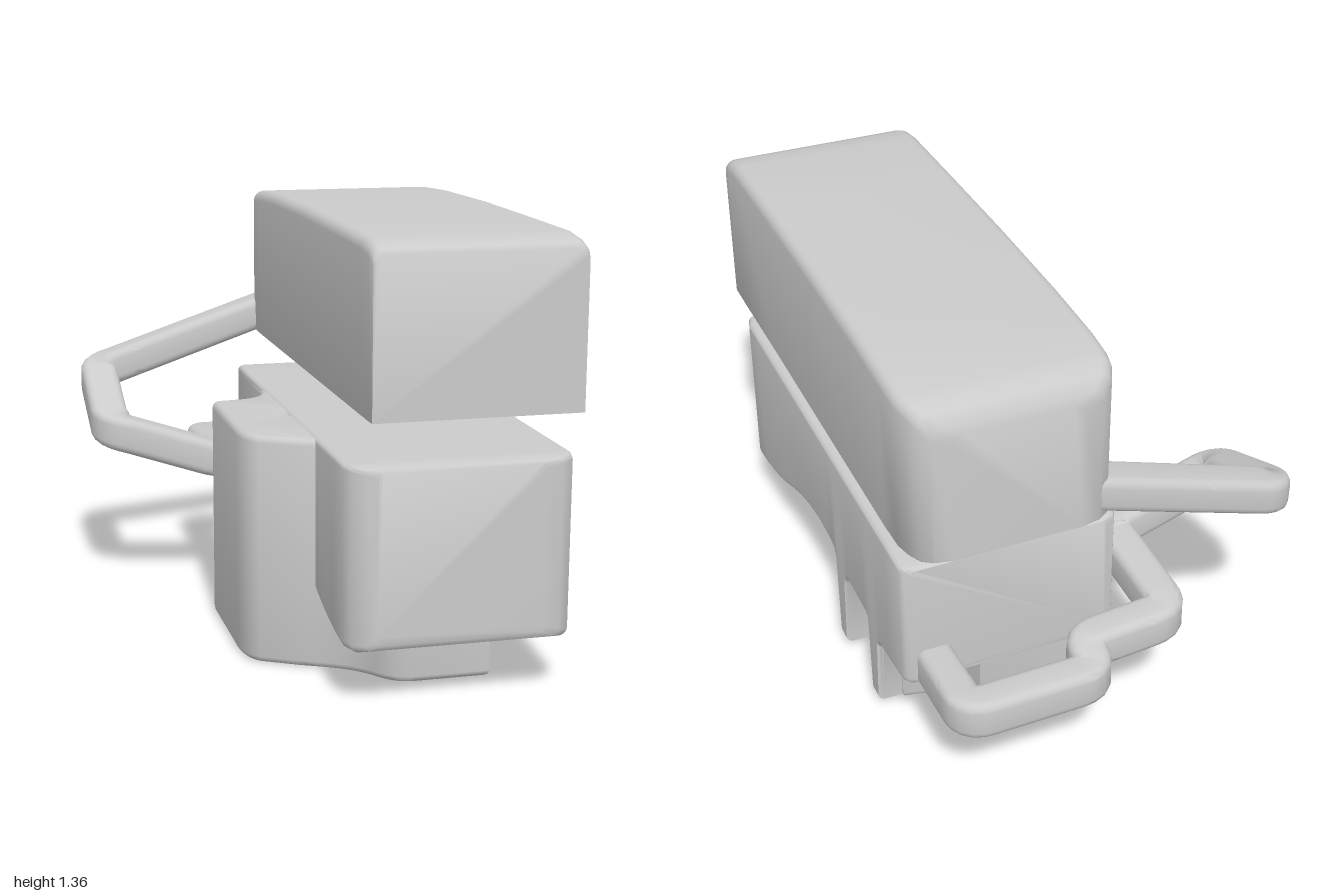
import * as THREE from 'three';
import { mergeVertices, toCreasedNormals } from 'three/addons/utils/BufferGeometryUtils.js';

const grey = new THREE.MeshStandardMaterial({ color: 0xcccccc, side: THREE.DoubleSide });
const V = (x, y, z) => new THREE.Vector3(x, y, z);

function add(group, name, geometry) {
  const mesh = new THREE.Mesh(geometry, grey);
  mesh.name = name;
  group.add(mesh);
  return mesh;
}

// Rounded rectangle as 2D points, counter-clockwise; separate bottom and top radii
function roundedRect(x0, x1, y0, y1, rb, rt) {
  const pts = [];
  const corners = [[x0, y0, rb, 1, 1], [x1, y0, rb, -1, 1], [x1, y1, rt, -1, -1], [x0, y1, rt, 1, -1]];
  corners.forEach(([x, y, r, sx, sy], i) => {
    for (let k = 0; k <= 4; k++) {
      const a = Math.PI + (i + k / 4) * Math.PI / 2;
      pts.push([x + sx * r + r * Math.cos(a), y + sy * r + r * Math.sin(a)]);
    }
  });
  return pts;
}

// Closed skin over a row of equal-sized rings, capped at both ends
function skin(rings, crease = 0.7) {
  const n = rings[0].length, last = (rings.length - 1) * n, index = [];
  for (let i = 0; i < rings.length - 1; i++) {
    for (let j = 0; j < n; j++) {
      const a = i * n + j, b = i * n + (j + 1) % n;
      index.push(a, a + n, b, b, a + n, b + n);
    }
  }
  for (let j = 1; j < n - 1; j++) index.push(0, j, j + 1, last, last + j + 1, last + j);
  const geometry = new THREE.BufferGeometry().setFromPoints(rings.flat());
  geometry.setIndex(index);
  return toCreasedNormals(geometry, crease);
}

// Stations [z, xMin, xMax, yMin, yMax], from front to back
const loft = (stations, rb, rt) => skin(stations.map(([z, x0, x1, y0, y1]) =>
  roundedRect(x0, x1, y0, y1, rb, rt).map(([x, y]) => V(x, y, z))));

// Strap of rounded rectangular section along a path with rounded bends
function strap(points, w0, w1, h0, h1, radius) {
  const path = new THREE.CurvePath();
  let from = points[0];
  for (let i = 1; i < points.length - 1; i++) {
    const p = points[i];
    const toward = q => p.clone().add(q.clone().sub(p).setLength(Math.min(radius, p.distanceTo(q) * 0.45)));
    const a = toward(points[i - 1]), b = toward(points[i + 1]);
    path.add(new THREE.LineCurve3(from, a));
    path.add(new THREE.QuadraticBezierCurve3(a, p, b));
    from = b;
  }
  path.add(new THREE.LineCurve3(from, points[points.length - 1]));
  const up = V(0, 1, 0), steps = 160, rings = [];
  for (let i = 0; i <= steps; i++) {
    const u = i / steps, p = path.getPointAt(u), t = path.getTangentAt(u);
    const side = t.clone().cross(up).normalize(), top = side.clone().cross(t);
    const w = THREE.MathUtils.lerp(w0, w1, u) / 2, h = THREE.MathUtils.lerp(h0, h1, u) / 2;
    rings.push(roundedRect(-w, w, -h, h, 0.028, 0.028).map(([x, y]) =>
      p.clone().addScaledVector(side, x).addScaledVector(top, y)));
  }
  return skin(rings, 1);
}

export function createModel() {
  const model = new THREE.Group();

  // Lid: softly crowned block with rounded back corners
  add(model, 'lid', loft([
    [0.835, -0.01, 0.62, 0.84, 1.31],
    [0.825, -0.012, 0.622, 0.84, 1.325],
    [0.79, -0.013, 0.622, 0.84, 1.338],
    [0.72, -0.013, 0.622, 0.84, 1.348],
    [0.4, -0.013, 0.62, 0.84, 1.353],
    [0, -0.013, 0.62, 0.84, 1.357],
    [-0.4, -0.013, 0.62, 0.84, 1.353],
    [-0.62, -0.013, 0.62, 0.84, 1.343],
    [-0.72, -0.01, 0.617, 0.84, 1.333],
    [-0.77, 0, 0.605, 0.84, 1.327],
    [-0.81, 0.02, 0.585, 0.84, 1.31],
    [-0.83, 0.05, 0.555, 0.84, 1.275],
    [-0.842, 0.11, 0.5, 0.84, 1.25],
  ], 0.003, 0.035));

  // Body: upper box whose underside sweeps up, then drops into two ribs
  const underside = [
    [0.79, 0.175], [0.7, 0.185], [0.6, 0.205], [0.5, 0.235], [0.4, 0.275], [0.3, 0.31],
    [0.2, 0.335], [0.1, 0.348], [0, 0.345], [-0.05, 0.335], [-0.07, 0.3], [-0.08, 0.015],
    [-0.13, 0.015], [-0.14, 0.265], [-0.155, 0.29], [-0.18, 0.3], [-0.34, 0.295], [-0.365, 0.28],
    [-0.38, 0.015], [-0.43, 0.015], [-0.44, 0.24], [-0.46, 0.262], [-0.55, 0.272], [-0.66, 0.285],
  ];
  add(model, 'body', loft([
    [0.87, 0, 0.5, 0.2, 0.705],
    [0.862, -0.035, 0.55, 0.185, 0.715],
    [0.835, -0.068, 0.587, 0.175, 0.72],
    ...underside.map(([z, y]) => [z, -0.083, 0.6, y, 0.72]),
    [-0.68, -0.072, 0.59, 0.287, 0.718],
    [-0.69, -0.045, 0.57, 0.295, 0.71],
  ], 0.025, 0.015));

  // Base with the side bulge; footprint drawn as (x, -z)
  const b = 0.02;
  const shape = new THREE.Shape();
  shape.moveTo(0.39, -0.65);
  shape.lineTo(0.39, -0.1);
  shape.quadraticCurveTo(0.4, 0.06, 0.5, 0.09);
  shape.lineTo(0.5, 0.12);
  shape.bezierCurveTo(0.32, 0.16, 0.32, 0.35, 0.5, 0.39);
  shape.lineTo(0.5, 0.42);
  shape.quadraticCurveTo(0.37, 0.44, 0.36, 0.52);
  shape.lineTo(0.34, 0.655);
  shape.lineTo(-0.05, 0.655);
  shape.lineTo(-0.063, 0.63);
  shape.lineTo(-0.066, 0.3);
  shape.bezierCurveTo(-0.07, 0.17, -0.13, 0.13, -0.2, 0.125);
  shape.lineTo(-0.25, 0.12);
  shape.quadraticCurveTo(-0.262, 0.12, -0.262, 0.1);
  shape.lineTo(-0.262, -0.27);
  shape.quadraticCurveTo(-0.26, -0.35, -0.225, -0.38);
  shape.lineTo(-0.12, -0.44);
  shape.bezierCurveTo(-0.04, -0.48, 0.02, -0.5, 0.08, -0.58);
  shape.quadraticCurveTo(0.12, -0.65, 0.18, -0.65);
  shape.closePath();
  const dimple = new THREE.Path();
  dimple.absellipse(0, -0.12, 0.09, 0.09, 0, Math.PI * 2, true);
  shape.holes.push(dimple);
  const base = new THREE.ExtrudeGeometry(shape, {
    depth: 0.715 - 2 * b, bevelThickness: b, bevelSize: b, bevelSegments: 3, curveSegments: 10,
  });
  base.rotateX(-Math.PI / 2).translate(0, b, 0);
  base.deleteAttribute('uv');
  base.deleteAttribute('normal');
  add(model, 'base', toCreasedNormals(mergeVertices(base), 0.7));
  add(model, 'dimpleFloor', new THREE.CylinderGeometry(0.1, 0.1, 0.2, 24)).position.set(0, 0.18, 0.12);

  // Tether from the lid corner, around and back to the body's rear loop
  add(model, 'tether', strap([
    V(0.1, 0.93, -0.765), V(-0.575, 0.705, -0.75), V(-0.575, 0.57, -0.415), V(-0.19, 0.44, -0.415),
    V(-0.19, 0.415, -0.835), V(0.1, 0.385, -0.83), V(0.1, 0.365, -0.945),
    V(0.505, 0.36, -0.945), V(0.505, 0.34, -0.62),
  ], 0.13, 0.11, 0.11, 0.13, 0.06));

  // Thin tab under the lid's front edge and its matching arch on the front face
  const tongue = length => {
    const s = new THREE.Shape();
    s.moveTo(-0.022, 0);
    s.lineTo(0.022, 0);
    s.lineTo(0.02, length - 0.03);
    s.quadraticCurveTo(0.016, length, 0, length);
    s.quadraticCurveTo(-0.016, length, -0.02, length - 0.03);
    return new THREE.ShapeGeometry(s);
  };
  add(model, 'frontTab', tongue(0.17).rotateX(Math.PI / 2)).position.set(0.3, 0.841, 0.83);
  add(model, 'frontArch', tongue(0.07)).position.set(0.3, 0.84, 0.838);

  return model;
}
